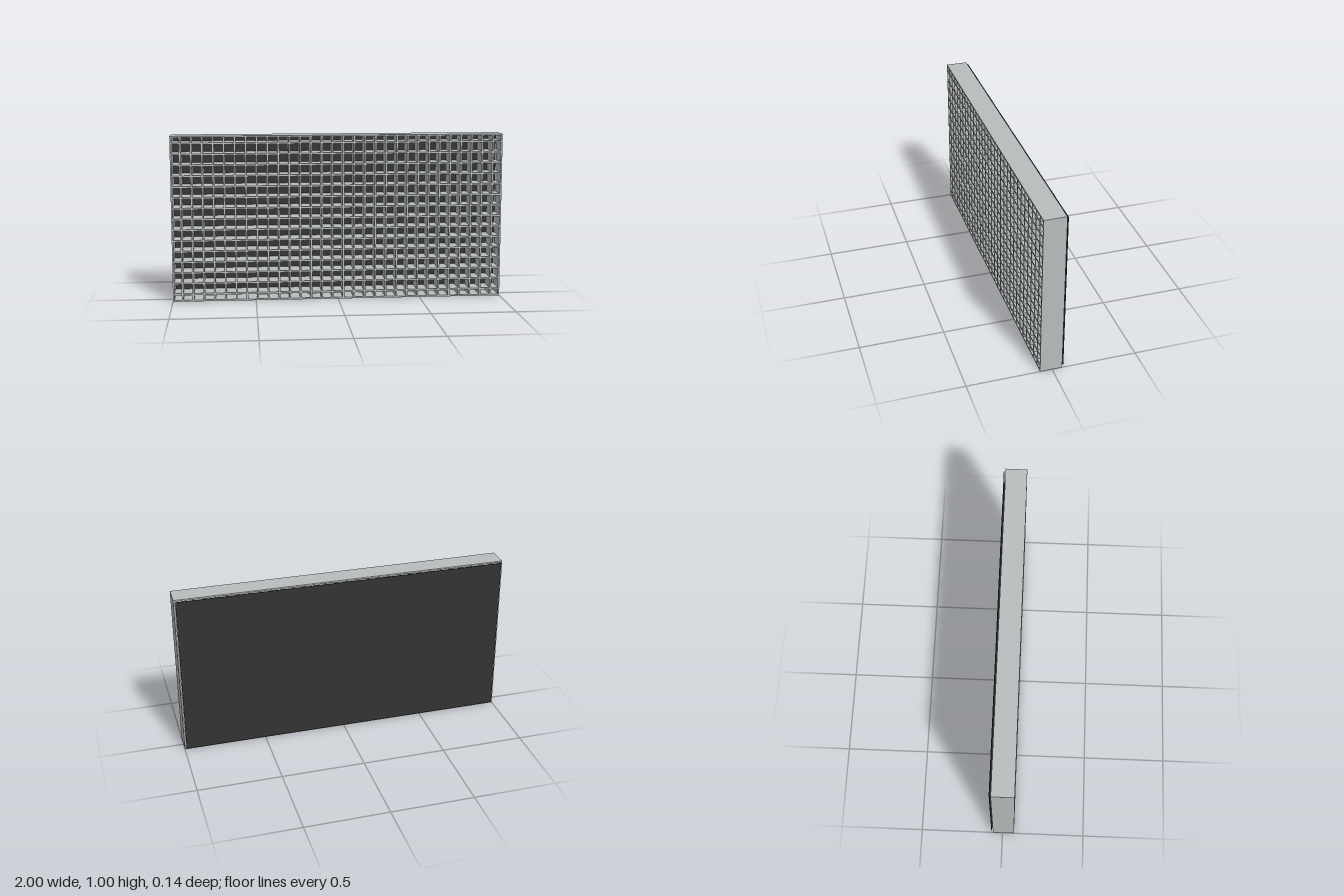
import * as THREE from 'three';

const W = 2, H = 1;
const FRONT = 0.071, BACK = -0.059;   // depth range of frame and lattice
const WALL = 0.009, BAR = 0.01, PITCH = 0.065;

export function createModel() {
  const model = new THREE.Group();
  model.name = 'latticePanel';

  const grey = new THREE.MeshStandardMaterial({ color: 0xb9bdbd });
  grey.name = 'light grey';
  const black = new THREE.MeshStandardMaterial({ color: 0x333333 });
  black.name = 'charcoal';

  const box = (parent, name, material, w, h, z0, z1, x, y) => {
    const mesh = new THREE.Mesh(new THREE.BoxGeometry(w, h, z1 - z0), material);
    mesh.name = name;
    mesh.position.set(x, y, (z0 + z1) / 2);
    parent.add(mesh);
  };

  // Outer frame: four walls, open front and back
  const frame = new THREE.Group();
  frame.name = 'frame';
  for (const s of [-1, 1]) {
    box(frame, s > 0 ? 'leftWall' : 'rightWall', grey, WALL, H, BACK, FRONT, s * (W - WALL) / 2, H / 2);
    box(frame, s > 0 ? 'topWall' : 'bottomWall', grey, W - 2 * WALL, WALL, BACK, FRONT, 0, H / 2 + s * (H - WALL) / 2);
  }
  model.add(frame);

  // Egg-crate lattice: 30 upright and 15 level slats
  const lattice = new THREE.Group();
  lattice.name = 'lattice';
  for (let i = 0; i < 30; i++)
    box(lattice, 'uprightSlat', grey, BAR, H - 2 * WALL, BACK, FRONT, (i - 14.5) * PITCH, H / 2);
  for (let j = 0; j < 15; j++)
    box(lattice, 'levelSlat', grey, W - 2 * WALL, BAR, BACK, FRONT, 0, H / 2 + (j - 7) * PITCH);
  model.add(lattice);

  // Thin dark backing sheet, held just behind the frame
  box(model, 'backSheet', black, W - 0.02, H - 0.02, -0.07, -0.065, 0, H / 2);

  return model;
}
